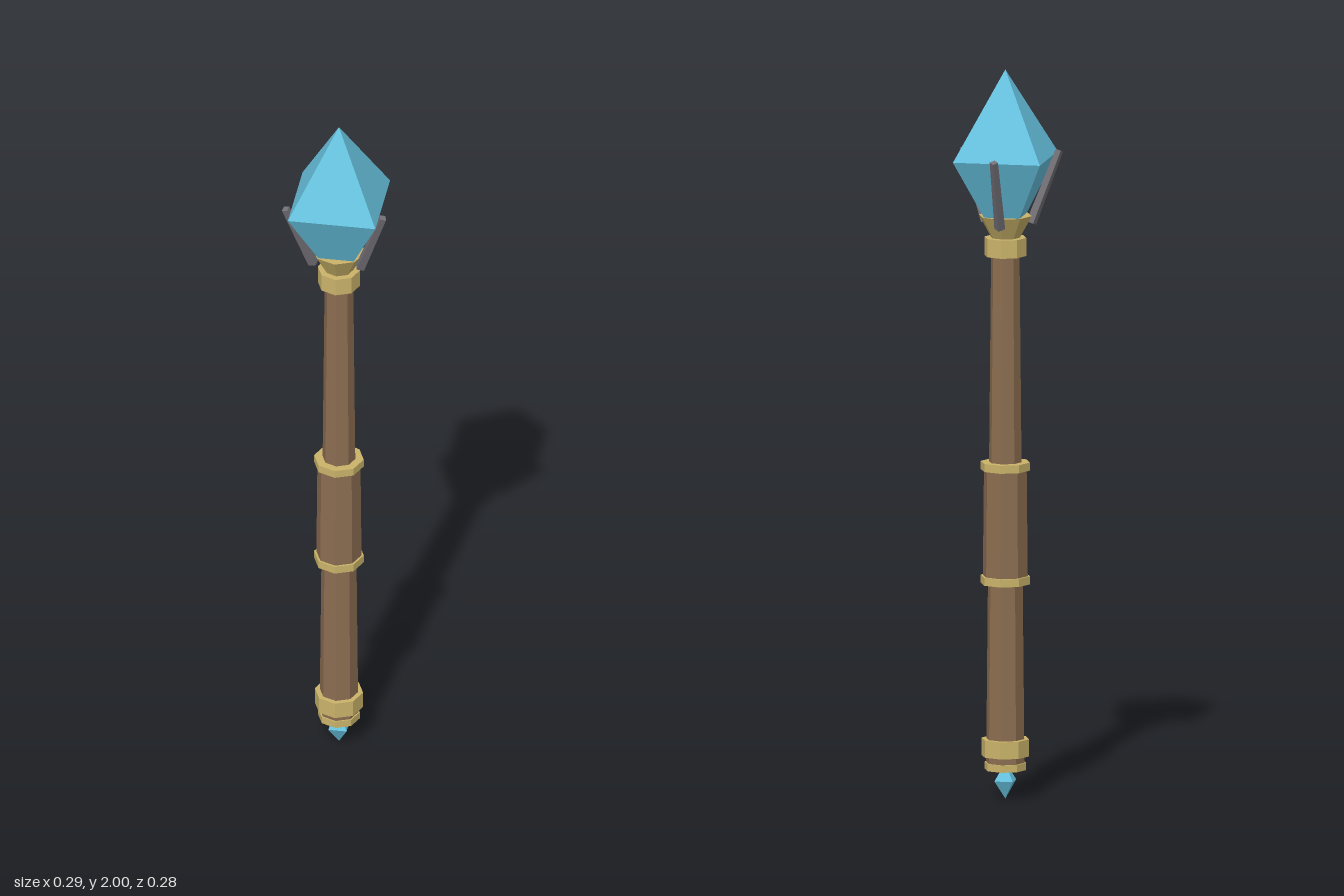
import * as THREE from 'three';

export function createModel() {
  const group = new THREE.Group();
  group.name = 'crystalStaff';

  const material = (name, color) => {
    const m = new THREE.MeshStandardMaterial({ color, flatShading: true });
    m.name = name;
    return m;
  };
  const wood = material('wood', 0x8b6d50);
  const gold = material('gold', 0xcab36a);
  const crystal = material('crystal', 0x67c3e0);
  const metal = material('metal', 0x727076);

  // Everything is centred on the staff axis, slightly ahead of the origin.
  const staff = new THREE.Group();
  staff.name = 'staff';
  staff.position.z = 0.022;
  group.add(staff);

  // Eight-sided section between two heights.
  function section(name, mat, y0, y1, r0, r1 = r0) {
    const mesh = new THREE.Mesh(new THREE.CylinderGeometry(r1, r0, y1 - y0, 8), mat);
    mesh.name = name;
    mesh.position.y = (y0 + y1) / 2;
    staff.add(mesh);
  }

  // Square double pyramid, sides facing the axes.
  function gem(name, yBottom, yMiddle, yTop, half) {
    const profile = [[0, yBottom], [half * Math.SQRT2, yMiddle], [0, yTop]];
    const geometry = new THREE.LatheGeometry(
      profile.map(([x, y]) => new THREE.Vector2(x, y)), 4, Math.PI / 4);
    const mesh = new THREE.Mesh(geometry, crystal);
    mesh.name = name;
    staff.add(mesh);
  }

  // Shaft and grip
  section('shaft', wood, 0.09, 1.52, 0.053, 0.039);
  section('grip', wood, 0.61, 0.91, 0.062, 0.059);

  // Gold fittings
  section('endCap', gold, 0.08, 0.1, 0.057);
  section('baseBand', gold, 0.118, 0.165, 0.066);
  section('lowerGripRing', gold, 0.59, 0.612, 0.068);
  section('upperGripRing', gold, 0.902, 0.924, 0.068);
  section('topBand', gold, 1.49, 1.54, 0.058);
  section('cup', gold, 1.54, 1.6, 0.04, 0.073);

  // Crystals
  gem('headCrystal', 1.49, 1.76, 2, 0.12);
  gem('pommelCrystal', 0, 0.05, 0.1, 0.025);

  // Three tapered prongs leaning outwards: one behind, two towards the front
  const foot = new THREE.Vector2(0.074, 1.575);
  const tip = new THREE.Vector2(0.154, 1.77);
  const prongGeometry = new THREE.CylinderGeometry(0.0115, 0.015, foot.distanceTo(tip), 4);
  prongGeometry.rotateX(Math.atan2(tip.x - foot.x, tip.y - foot.y));
  prongGeometry.translate(0, (foot.y + tip.y) / 2, (foot.x + tip.x) / 2);
  for (let i = 0; i < 3; i++) {
    const prong = new THREE.Mesh(prongGeometry, metal);
    prong.name = ['leftProng', 'backProng', 'rightProng'][i];
    prong.rotation.y = Math.PI / 3 + (i * Math.PI * 2) / 3;
    staff.add(prong);
  }

  return group;
}
